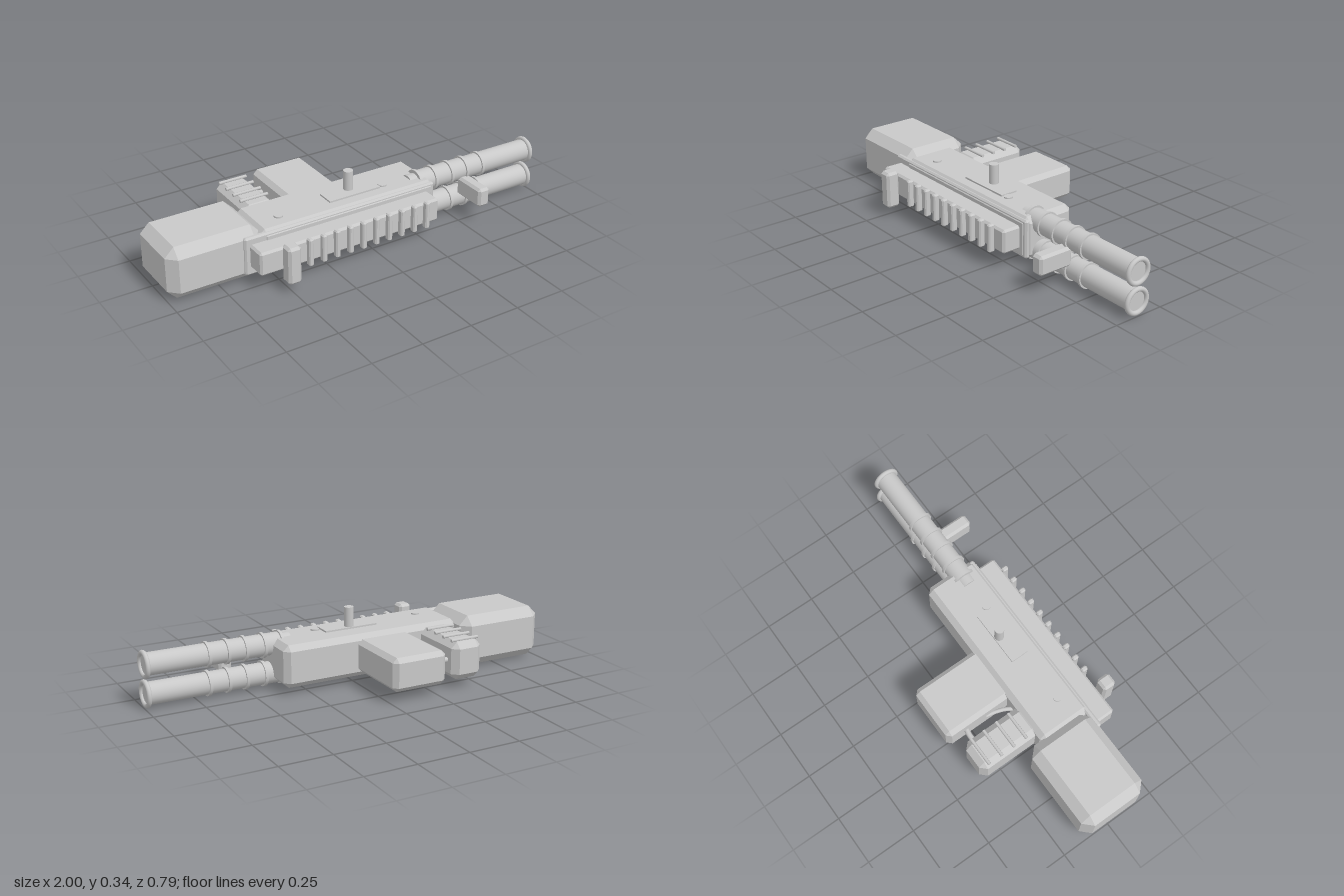
import * as THREE from 'three';
import { ConvexGeometry } from 'three/addons/geometries/ConvexGeometry.js';

export function createModel() {
  const root = new THREE.Group();
  const metal = new THREE.MeshStandardMaterial({ color: 0xc8c8c8 });
  metal.name = 'light grey metal';

  const add = (name, geometry, x = 0, y = 0, z = 0) => {
    const mesh = new THREE.Mesh(geometry, metal);
    mesh.name = name;
    mesh.position.set(x, y, z);
    root.add(mesh);
    return mesh;
  };

  // Box given by its limits, with every edge chamfered by c
  const block = (name, [x0, x1], [y0, y1], [z0, z1], c) => {
    const h = [(x1 - x0) / 2, (y1 - y0) / 2, (z1 - z0) / 2];
    const points = [];
    for (const sx of [-1, 1]) for (const sy of [-1, 1]) for (const sz of [-1, 1])
      for (let axis = 0; axis < 3; axis++) {
        const p = [sx, sy, sz].map((s, i) => s * (h[i] - (i === axis ? 0 : c)));
        points.push(new THREE.Vector3(...p));
      }
    return add(name, new ConvexGeometry(points), (x0 + x1) / 2, (y0 + y1) / 2, (z0 + z1) / 2);
  };

  // Receiver, stock and side rail
  block('receiver', [-0.56, 0.377], [0.035, 0.242], [-0.057, 0.22], 0.027);
  block('stock', [-1, -0.543], [0.011, 0.266], [-0.14, 0.203], 0.045);
  block('sidePlate', [-0.645, 0.372], [0.045, 0.232], [0.188, 0.216], 0.008);
  block('foreRail', [-0.62, 0.332], [0.082, 0.198], [0.2, 0.31], 0.01);
  for (let i = 0; i < 10; i++) {
    const x = -0.377 + i * 0.07;
    block('railRib', [x - 0.012, x + 0.012], [0.072, 0.208], [0.305, 0.337], 0.006);
  }
  block('frontSight', [-0.525, -0.46], [0.047, 0.23], [0.326, 0.394], 0.012);

  // Magazine and ribbed grip behind the receiver
  block('magazine', [-0.283, -0.003], [0.058, 0.22], [-0.393, -0.03], 0.022);
  block('grip', [-0.505, -0.345], [0.046, 0.23], [-0.357, -0.03], 0.03);
  for (const z of [-0.104, -0.173, -0.243, -0.313]) {
    add('gripBar', new THREE.CylinderGeometry(0.008, 0.008, 0.145, 8), -0.425, 0.234, z).rotation.z = Math.PI / 2;
  }

  // Trigger and guard bar between grip and magazine
  const tube = (name, points, radius) => add(name, new THREE.TubeGeometry(
    new THREE.CatmullRomCurve3(points.map(([x, z]) => new THREE.Vector3(x, 0.138, z))), 16, radius, 10));
  tube('guardBar', [[-0.36, -0.285], [-0.335, -0.292], [-0.305, -0.292], [-0.27, -0.285]], 0.013);
  tube('trigger', [[-0.33, -0.045], [-0.305, -0.085], [-0.29, -0.125], [-0.278, -0.175]], 0.01);

  // Top plate, post and bolts
  add('topPlate', new THREE.BoxGeometry(0.275, 0.014, 0.088), -0.027, 0.243, 0.101);
  add('post', new THREE.CylinderGeometry(0.023, 0.023, 0.11, 24), -0.027, 0.291, 0.082);
  for (const x of [-0.425, 0.135]) for (const y of [0.242, 0.035]) {
    add('bolt', new THREE.CylinderGeometry(0.021, 0.021, 0.014, 20), x, y, 0.125);
  }

  // Twin barrels with bands and rolled muzzles
  const alongX = (name, radius, x0, x1, y) => {
    const mesh = add(name, new THREE.CylinderGeometry(radius, radius, x1 - x0, 32), (x0 + x1) / 2, y, 0.128);
    mesh.rotation.z = Math.PI / 2;
  };
  for (const y of [0.208, 0.069]) {
    alongX('barrelRoot', 0.045, 0.275, 0.34, y);
    alongX('barrel', 0.053, 0.32, 0.987, y);
    for (const x of [0.325, 0.413, 0.508, 0.597, 0.692]) alongX('barrelBand', 0.061, x - 0.007, x + 0.007, y);
    add('muzzleRing', new THREE.TorusGeometry(0.055, 0.0115, 12, 40), 0.988, y, 0.128).rotation.y = Math.PI / 2;
  }
  block('barrelClamp', [0.553, 0.617], [0.092, 0.187], [0.155, 0.335], 0.012);

  return root;
}
